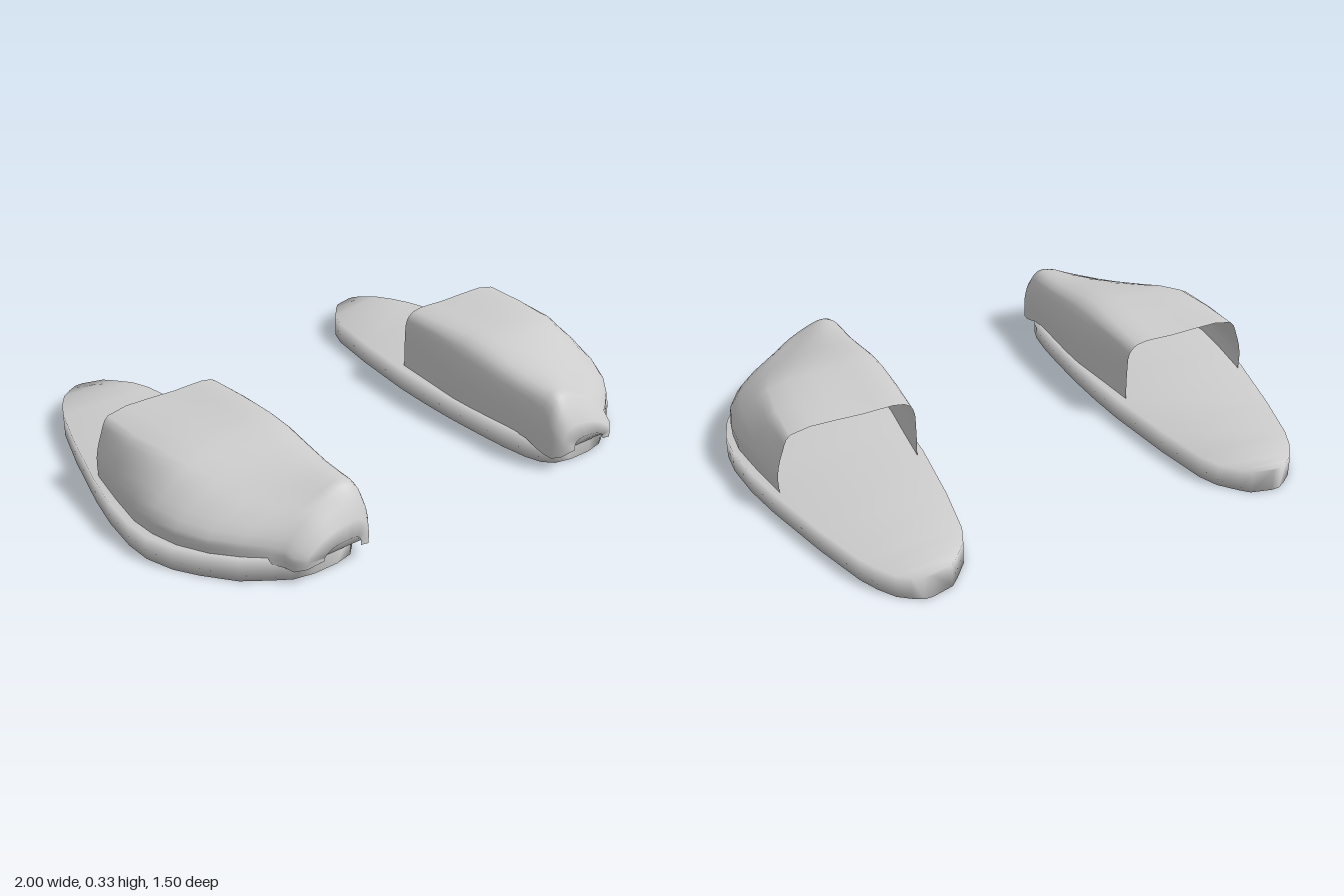
import * as THREE from 'three';

// Sole outline: [z, inner x, outer x]
const SOLE = [
  [-0.75, 0.645, 0.675], [-0.73, 0.57, 0.71], [-0.7, 0.54, 0.75], [-0.64, 0.49, 0.79],
  [-0.57, 0.462, 0.823], [-0.37, 0.427, 0.885], [-0.1, 0.395, 0.955], [0.05, 0.387, 0.985],
  [0.2, 0.385, 1.0], [0.3, 0.388, 0.994], [0.4, 0.392, 0.96], [0.48, 0.397, 0.91],
  [0.58, 0.41, 0.83], [0.64, 0.43, 0.745], [0.675, 0.465, 0.69], [0.69, 0.53, 0.62],
];
const SOLE_TOP = 0.085;

// Upper: [z, inner x, outer x, top inner x, top outer x, top y, outer shoulder y, hem y]
const UPPER = [
  [-0.115, 0.425, 0.93, 0.44, 0.875, 0.31, 0.3, 0.083],
  [0.05, 0.41, 0.957, 0.44, 0.87, 0.32, 0.3, 0.083],
  [0.2, 0.395, 0.975, 0.45, 0.85, 0.325, 0.3, 0.083],
  [0.3, 0.395, 0.967, 0.45, 0.82, 0.317, 0.28, 0.083],
  [0.4, 0.4, 0.94, 0.45, 0.77, 0.298, 0.255, 0.083],
  [0.5, 0.405, 0.885, 0.45, 0.7, 0.281, 0.238, 0.083],
  [0.58, 0.405, 0.815, 0.45, 0.63, 0.274, 0.235, 0.08],
  [0.64, 0.405, 0.745, 0.45, 0.58, 0.272, 0.24, 0.06],
  [0.67, 0.41, 0.715, 0.45, 0.57, 0.262, 0.235, 0.05],
  [0.7, 0.415, 0.705, 0.45, 0.57, 0.222, 0.2, 0.047],
  [0.73, 0.435, 0.675, 0.47, 0.58, 0.168, 0.155, 0.06],
  [0.747, 0.48, 0.62, 0.5, 0.58, 0.12, 0.115, 0.08],
  [0.69, 0.43, 0.69, 0.46, 0.58, 0.05, 0.05, 0.046], // tucked under the toe
];

// Skin a list of equal-length sections; side -1 mirrors across x
function loft(sections, closed, side) {
  const n = sections[0].length;
  const index = [];
  const tri = (a, b, c) => (side > 0 ? index.push(a, b, c) : index.push(a, c, b));
  for (let i = 0; i < sections.length - 1; i++) {
    for (let j = 0; j < (closed ? n : n - 1); j++) {
      const a = i * n + j, b = i * n + (j + 1) % n;
      tri(a, a + n, b);
      tri(b, a + n, b + n);
    }
  }
  if (closed) {
    const e = (sections.length - 1) * n;
    for (let j = 1; j < n - 1; j++) {
      tri(0, j, j + 1);
      tri(e, e + j + 1, e + j);
    }
  }
  const points = sections.flat().map((p) => new THREE.Vector3(p.x * side, p.y, p.z));
  const geometry = new THREE.BufferGeometry().setFromPoints(points);
  geometry.setIndex(index);
  geometry.computeVertexNormals();
  return geometry;
}

const v = (x, y, z) => new THREE.Vector3(x, y, z);

function soleSection([z, xi, xo]) {
  return [v(xi, SOLE_TOP, z), v(xo, SOLE_TOP, z), v(xo, 0, z), v(xi, 0, z)];
}

// Steep inner wall, flat instep, sloping outer shoulder
function upperSection([z, xi, xo, ti, to, top, shoulder, hem]) {
  const mix = THREE.MathUtils.lerp;
  const curve = new THREE.CatmullRomCurve3([
    v(xi, hem, z),
    v(xi, mix(hem, top, 0.5), z),
    v(mix(xi, ti, 0.5), mix(hem, top, 0.85), z),
    v(mix(ti, to, 0.06), mix(hem, top, 0.985), z),
    v(mix(ti, to, 0.4), top, z),
    v(to, shoulder, z),
    v(mix(to, xo, 0.55), mix(hem, shoulder, 0.75), z),
    v(xo, mix(hem, shoulder, 0.35), z),
    v(xo, hem, z),
  ]);
  return curve.getPoints(24);
}

export function createModel() {
  const model = new THREE.Group();
  model.name = 'slippers';
  const grey = new THREE.MeshStandardMaterial({ color: 0xcccccc, side: THREE.DoubleSide });
  grey.name = 'light grey';

  for (const side of [1, -1]) {
    const slipper = new THREE.Group();
    slipper.name = side > 0 ? 'leftSlipper' : 'rightSlipper';
    const sole = new THREE.Mesh(loft(SOLE.map(soleSection), true, side), grey);
    sole.name = 'sole';
    const upper = new THREE.Mesh(loft(UPPER.map(upperSection), false, side), grey);
    upper.name = 'upper';
    slipper.add(sole, upper);
    model.add(slipper);
  }
  return model;
}
